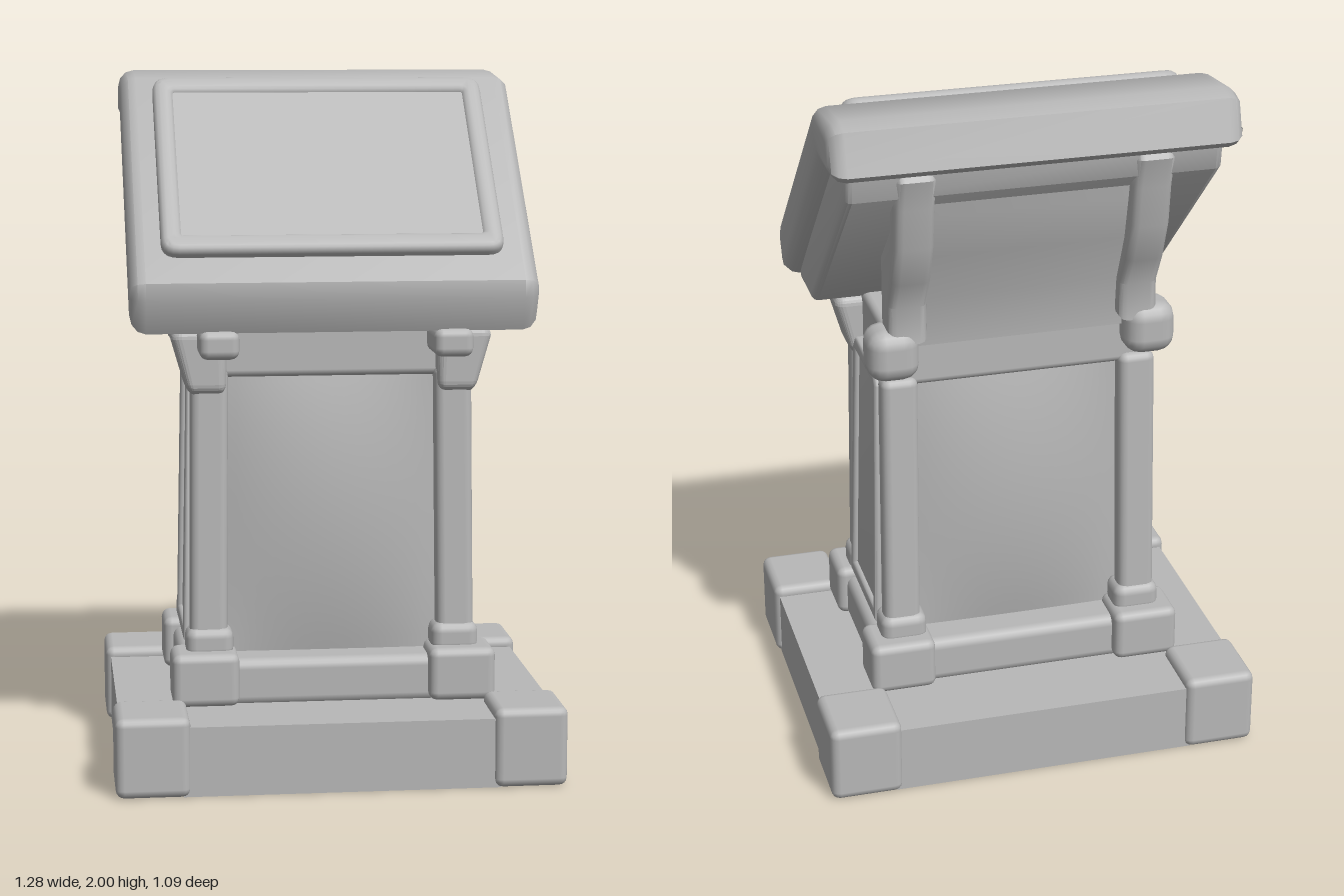
import * as THREE from 'three';
import { toCreasedNormals } from 'three/addons/utils/BufferGeometryUtils.js';
import { RoundedBoxGeometry } from 'three/addons/geometries/RoundedBoxGeometry.js';

export function createModel() {
  const model = new THREE.Group();
  model.name = 'displayStand';
  const stone = new THREE.MeshStandardMaterial({ color: 0xb8b8b8 });
  stone.name = 'grey';
  stone.side = THREE.DoubleSide;

  const add = (name, geo, parent = model) => {
    const mesh = new THREE.Mesh(geo, stone);
    mesh.name = name;
    parent.add(mesh);
    return mesh;
  };

  // Rounded box given by its minimum and maximum on each axis
  const block = (name, [x0, x1], [y0, y1], [z0, z1], r = 0.02) => {
    const geo = new RoundedBoxGeometry(x1 - x0, y1 - y0, z1 - z0, 2, r);
    geo.translate((x0 + x1) / 2, (y0 + y1) / 2, (z0 + z1) / 2);
    return add(name, geo);
  };

  // Side outline of [z, y] points, extruded across x and centred
  const sideGeo = (points, width, bevel, hole) => {
    const vec = (list) => list.map(([z, y]) => new THREE.Vector2(-z, y));
    const shape = new THREE.Shape(vec(points));
    if (hole) shape.holes.push(new THREE.Path(vec(hole)));
    const geo = new THREE.ExtrudeGeometry(shape, {
      depth: width - 2 * bevel, bevelEnabled: true, bevelThickness: bevel,
      bevelSize: bevel, bevelOffset: -bevel, bevelSegments: 3,
    });
    geo.translate(0, 0, bevel - width / 2);
    geo.rotateY(Math.PI / 2);
    return toCreasedNormals(geo, 0.7);
  };

  const span = (s, a, b) => (s > 0 ? [a, b] : [-b, -a]);

  // Outer skin of a base corner: a rounded box without floor or inward sides
  const cornerSkin = (s, f) => {
    const mesh = block('baseCorner', span(s, 0.43, 0.64), [0, 0.23], span(f, 0.315, 0.543), 0.025);
    const g = mesh.geometry.toNonIndexed();
    const n = g.attributes.normal, keep = [];
    for (let i = 0; i < n.count; i += 3) {
      const sum = (get) => get(i) + get(i + 1) + get(i + 2);
      const x = sum((k) => n.getX(k)) * s, y = sum((k) => n.getY(k)), z = sum((k) => n.getZ(k)) * f;
      if (y > -2.9 && x > -2.9 && z > -2.9) keep.push(i, i + 1, i + 2);
    }
    g.clearGroups();
    g.setIndex(keep);
    mesh.geometry = g;
  };

  // Hollow base: four walls, a ceiling and corner blocks
  const wall = (name, w, h, d, x, y, z) =>
    add(name, new THREE.BoxGeometry(w, h, d).translate(x, y, z));
  for (const s of [-1, 1]) {
    wall('baseWall', 0.9, 0.2, 0.01, 0, 0.1, s * 0.522);
    wall('baseSideWall', 0.01, 0.2, 0.66, s * 0.62, 0.1, 0);
  }
  wall('baseTop', 1.24, 0.02, 1.04, 0, 0.19, 0);

  // Plinth
  block('plinth', [-0.44, 0.44], [0.19, 0.33], [-0.285, 0.285], 0.03);

  // Column core
  wall('columnCore', 0.74, 0.96, 0.33, 0, 0.8, 0);

  // Domed front and back panels
  for (const s of [-1, 1]) {
    const geo = new THREE.PlaneGeometry(0.62, 0.86, 16, 16);
    const p = geo.attributes.position;
    for (let i = 0; i < p.count; i++) {
      const u = p.getX(i) / 0.31, v = p.getY(i) / 0.43;
      p.setZ(i, 0.175 + 0.045 * (1 - u * u) * (1 - v * v));
    }
    geo.computeVertexNormals();
    if (s < 0) geo.rotateY(Math.PI);
    geo.translate(0, 0.74, 0);
    add(s > 0 ? 'frontPanel' : 'backPanel', geo);
  }

  // Header around the top of the column
  block('header', [-0.38, 0.38], [1.14, 1.3], [-0.22, 0.215], 0.02);

  for (const s of [-1, 1]) {
    // Column side: flat panel inside a raised trim
    const outline = [[0.165, -0.4], [-0.18, -0.4], [-0.175, 0.37], [-0.145, 0.405], [0.1, 0.405], [0.125, 0.37]];
    const side = new THREE.Group();
    side.name = 'columnSide';
    side.position.set(s * 0.4, 0.76, 0);
    side.rotation.z = s * 0.02;
    model.add(side);
    add('sidePanel', sideGeo(outline, 0.03, 0.004), side).position.x = -s * 0.01;
    add('sideTrim', sideGeo(outline, 0.04, 0.012,
      [[0.128, -0.36], [0.093, 0.365], [-0.138, 0.365], [-0.148, -0.36]]), side);

    for (const f of [-1, 1]) {
      cornerSkin(s, f);
      block('baseCornerCap', span(s, 0.43, 0.64), [0.18, 0.23], span(f, 0.315, 0.543), 0.0245);
      block('plinthCorner', span(s, 0.275, 0.468), [0.2, 0.355], span(f, 0.16, 0.325), 0.025);
      block('postFoot', span(s, 0.288, 0.425), [0.33, 0.42], span(f, 0.165, 0.275), 0.03);
      const post = add('post', new RoundedBoxGeometry(0.108, 0.8, 0.075, 2, 0.025));
      post.position.set(s * 0.355, 0.77, f * 0.214);
      post.rotation.set(-f * 0.025, 0, s * 0.01);
    }

    // Flared front capital with a short beam end
    const capital = new RoundedBoxGeometry(0.16, 0.19, 0.14, 3, 0.03);
    const p = capital.attributes.position;
    for (let i = 0; i < p.count; i++) {
      const k = THREE.MathUtils.smoothstep(-p.getY(i), -0.03, 0.095);
      p.setX(i, p.getX(i) * (1 - 0.3 * k) - s * 0.02 * k);
    }
    capital.computeVertexNormals();
    add('frontCapital', capital).position.set(s * 0.38, 1.19, 0.188);
    block('beamEnd', span(s, 0.275, 0.388), [1.21, 1.292], [0.2, 0.38], 0.025);

    // Back capital and the curved bracket that rises from it
    block('backCapital', span(s, 0.3, 0.45), [1.185, 1.34], [-0.3, -0.16], 0.05);
    add('neckBracket', sideGeo(
      [[-0.18, 1.3], [-0.285, 1.3], [-0.28, 1.41], [-0.33, 1.5], [-0.375, 1.62], [-0.39, 1.74],
        [-0.415, 1.83], [-0.4, 1.85], [-0.32, 1.83], [-0.3, 1.66], [-0.18, 1.54]],
      0.115, 0.025)).position.x = s * 0.335;
  }

  // Neck between the brackets
  add('neck', sideGeo(
    [[0.13, 1.27], [-0.235, 1.27], [-0.25, 1.42], [-0.315, 1.57], [-0.345, 1.7],
      [-0.37, 1.83], [-0.32, 1.83], [-0.29, 1.67], [-0.02, 1.425], [0.1, 1.32]],
    0.62, 0.005));

  // Sloped head and the smaller tray beneath it
  add('head', sideGeo(
    [[0.4, 1.43], [0.405, 1.38], [0.36, 1.285], [0.3, 1.3], [-0.26, 1.845], [-0.42, 1.85],
      [-0.443, 1.87], [-0.405, 1.985], [-0.35, 2], [-0.17, 1.98]],
    1.155, 0.045)).position.x = -0.004;
  add('headTray', sideGeo(
    [[0.3, 1.32], [0.29, 1.285], [0.12, 1.285], [-0.395, 1.78], [-0.405, 1.86], [-0.24, 1.87]],
    1.06, 0.02));

  // Screen and its raised frame
  const display = new THREE.Group();
  display.name = 'display';
  display.position.set(-0.005, 1.731, 0.088);
  display.rotation.x = -0.803;
  model.add(display);
  const rect = (path, w, h, r) => {
    path.moveTo(-w + r, -h).lineTo(w - r, -h).quadraticCurveTo(w, -h, w, -h + r);
    path.lineTo(w, h - r).quadraticCurveTo(w, h, w - r, h);
    path.lineTo(-w + r, h).quadraticCurveTo(-w, h, -w, h - r);
    path.lineTo(-w, -h + r).quadraticCurveTo(-w, -h, -w + r, -h);
    return path;
  };
  const frameShape = rect(new THREE.Shape(), 0.485, 0.34, 0.05);
  frameShape.holes.push(rect(new THREE.Path(), 0.425, 0.275, 0.005));
  const frame = new THREE.ExtrudeGeometry(frameShape, {
    depth: 0.03, bevelThickness: 0.02, bevelSize: 0.02, bevelOffset: -0.02,
    bevelSegments: 3, curveSegments: 5,
  });
  frame.translate(0, 0, -0.017);
  add('screenFrame', toCreasedNormals(frame, 0.7), display);
  add('screen', new THREE.BoxGeometry(0.88, 0.58, 0.009), display).position.z = 0.018;

  return model;
}
